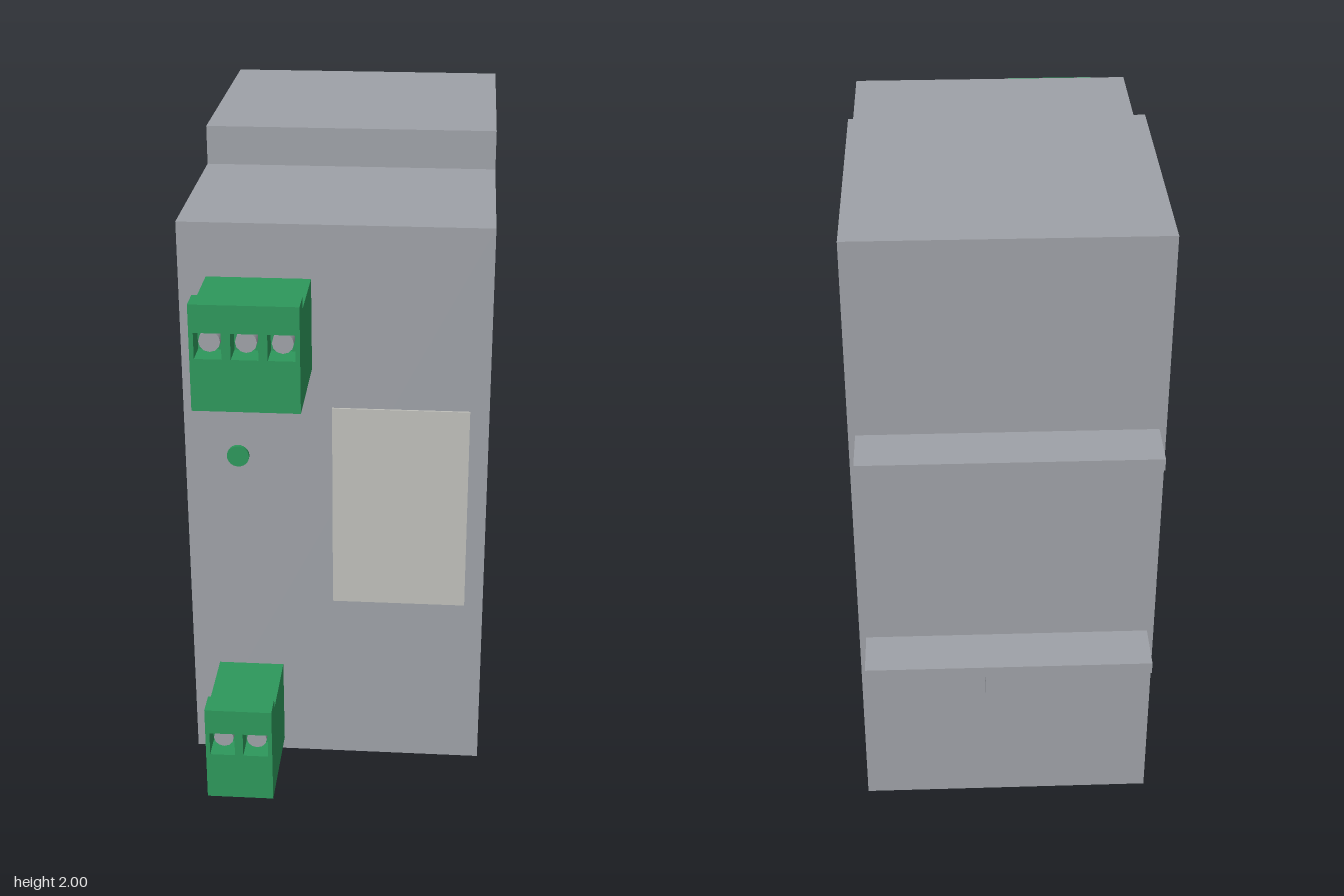
import * as THREE from 'three';

const mat = (name, color) => {
  const m = new THREE.MeshStandardMaterial({ color });
  m.name = name;
  return m;
};

export function createModel() {
  const grey = mat('housing grey', 0x9ea1a7);
  const green = mat('terminal green', 0x2d975b);
  const pale = mat('label pale grey', 0xbfbfba);
  const model = new THREE.Group();
  model.name = 'railModule';

  const add = (parent, name, geometry, material) => {
    const mesh = new THREE.Mesh(geometry, material);
    mesh.name = name;
    parent.add(mesh);
    return mesh;
  };
  // Box given by its lower and upper limits on each axis
  const box = (parent, name, material, [x0, x1], [y0, y1], [z0, z1]) =>
    add(parent, name, new THREE.BoxGeometry(x1 - x0, y1 - y0, z1 - z0), material)
      .position.set((x0 + x1) / 2, (y0 + y1) / 2, (z0 + z1) / 2);

  // Rectangular plate with a row of square holes, extruded along +z
  const HOLE = 0.075;
  const plate = (x0, x1, y0, y1, depth, holeXs, holeY) => {
    const rect = (T, a, b, c, d) => {
      const s = new T();
      s.moveTo(a, c).lineTo(b, c).lineTo(b, d).lineTo(a, d).closePath();
      return s;
    };
    const shape = rect(THREE.Shape, x0, x1, y0, y1);
    const h = HOLE / 2;
    for (const x of holeXs) shape.holes.push(rect(THREE.Path, x - h, x + h, holeY - h, holeY + h));
    return new THREE.ExtrudeGeometry(shape, { depth, bevelEnabled: false });
  };

  // Housing: stepped side profile (z, y) extruded across the width
  const profile = [[-0.785, 0], [0.015, 0], [0.015, 0.125], [0.615, 0.125],
    [0.615, 1.88], [0.015, 1.88], [0.015, 2], [-0.785, 2]];
  const side = new THREE.Shape(profile.map(([z, y]) => new THREE.Vector2(z, y)));
  const body = new THREE.ExtrudeGeometry(side, { depth: 0.896, bevelEnabled: false });
  body.rotateY(-Math.PI / 2).translate(0.446, 0, 0);
  add(model, 'housing', body, grey);

  // Mounting ledges and latch on the back
  box(model, 'upperLedge', grey, [-0.43, 0.426], [1.355, 1.392], [-0.935, -0.785]);
  box(model, 'lowerLedge', grey, [-0.43, 0.426], [0.615, 0.652], [-0.935, -0.785]);
  box(model, 'latch', grey, [-0.065, 0.065], [0.465, 0.615], [-0.845, -0.785]);

  // Plug-in screw terminals: screws in front, wire entries underneath
  const terminal = (name, base, ways) => {
    const g = new THREE.Group();
    g.name = name;
    model.add(g);
    const x0 = -0.37, x1 = x0 + 0.1 * ways;
    const xs = Array.from({ length: ways }, (_, i) => x0 + 0.05 + 0.1 * i);
    const entryZ = 0.85, floorY = base + 0.05;

    box(g, 'terminalCore', green, [x0, x1], [floorY, base + 0.275], [0.615, 0.86]);
    add(g, 'screwFace', plate(x0, x1, floorY, base + 0.308, 0.075, xs, base + 0.19), green)
      .position.z = 0.86;
    const bottom = plate(x0, x1, 0.615, 0.935, 0.05, xs, entryZ);
    bottom.rotateX(Math.PI / 2).translate(0, floorY, 0);
    add(g, 'wireEntryFace', bottom, green);

    for (const x of xs) {
      const screw = new THREE.CylinderGeometry(0.03, 0.03, 0.04, 12).rotateX(Math.PI / 2);
      add(g, 'screw', screw, grey).position.set(x, base + 0.19, 0.88);
      add(g, 'wireClamp', new THREE.CylinderGeometry(0.03, 0.03, 0.03, 12), grey)
        .position.set(x, floorY - 0.015, entryZ);
    }
  };
  terminal('upperTerminal', 1.445, 3);
  terminal('lowerTerminal', 0.165, 2);

  // Label plate and status lamp on the front
  box(model, 'label', pale, [-0.012, 0.39], [0.68, 1.325], [0.614, 0.621]);
  add(model, 'statusLamp', new THREE.CylinderGeometry(0.033, 0.033, 0.012, 24).rotateX(Math.PI / 2), green)
    .position.set(-0.292, 1.163, 0.62);

  return model;
}
